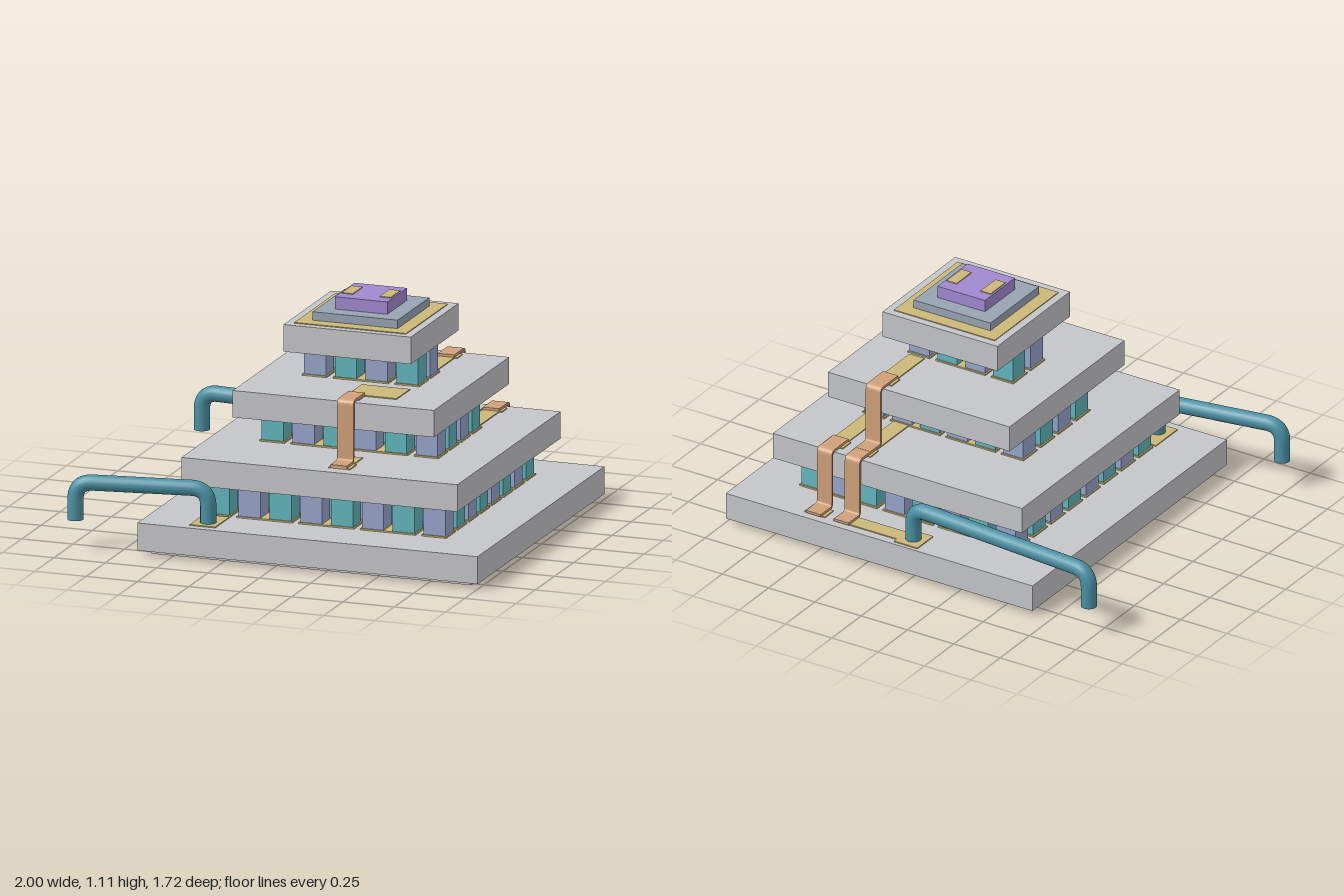
import * as THREE from 'three';

const mat = (name, color, side = THREE.FrontSide) => {
  const m = new THREE.MeshStandardMaterial({ color, side });
  m.name = name;
  return m;
};

export function createModel() {
  const root = new THREE.Group();
  root.name = 'stackedCooler';
  const CX = 0.17; // centre of the stack

  const ceramic = mat('ceramic', 0xc5c6c9);
  const gold = mat('gold', 0xcbb878);
  const copper = mat('copper', 0xd0a17a);
  const wire = mat('wire', 0x4b91a4);
  const blueLeg = mat('blueLeg', 0x97a5cc);
  const tealLeg = mat('tealLeg', 0x62b6bd);
  const mount = mat('mount', 0x98a4b3);
  const chip = mat('chip', 0xa189cf);

  const add = (name, geo, material, parent = root) => {
    const m = new THREE.Mesh(geo, material);
    m.name = name;
    parent.add(m);
    return m;
  };
  // box given by its limits on each axis
  const block = (name, material, x0, x1, y0, y1, z0, z1, parent) => {
    const m = add(name, new THREE.BoxGeometry(x1 - x0, y1 - y0, z1 - z0), material, parent);
    m.position.set((x0 + x1) / 2, (y0 + y1) / 2, (z0 + z1) / 2);
    return m;
  };
  const slab = (name, material, half, y0, y1) =>
    block(name, material, CX - half, CX + half, y0, y1, -half, half);
  const trace = (x0, x1, y, z0, z1) => block('goldTrace', gold, x0, x1, y, y + 0.005, z0, z1);

  // stepped plates and the chip on top
  slab('baseFoot', ceramic, 0.777, 0, 0.018);
  slab('baseSolder', gold, 0.777, 0.018, 0.023);
  slab('basePlate', ceramic, 0.828, 0.023, 0.153);
  slab('lowerPlate', ceramic, 0.672, 0.31, 0.438);
  slab('middlePlate', ceramic, 0.49, 0.598, 0.725);
  slab('upperPlate', ceramic, 0.31, 0.88, 1.008);
  slab('upperGoldPad', gold, 0.272, 1.008, 1.012);
  slab('chipMount', mount, 0.207, 1.01, 1.052);
  slab('chip', chip, 0.128, 1.052, 1.11);
  for (const s of [-1, 1]) {
    const x = CX + s * 0.092;
    block('chipContact', gold, x - 0.027, x + 0.027, 1.11, 1.114, -0.065, 0.062);
  }

  // checkered legs between the plates, with pads joining them in pairs
  const legStage = (name, nx, nz, y0, y1) => {
    const g = new THREE.Group();
    g.name = name;
    root.add(g);
    const pitch = 0.15, w = 0.053, p = 0.06, t = 0.007;
    for (let i = 0; i < nx; i++) for (let j = 0; j < nz; j++) {
      const x = CX + (i - (nx - 1) / 2) * pitch;
      const z = (j - (nz - 1) / 2) * pitch;
      const even = (nx - 1 - i + nz - 1 - j) % 2 === 0;
      const isBlue = nx === 4 ? !even : even;
      block('leg', isBlue ? blueLeg : tealLeg, x - w, x + w, y0 + t, y1 - t, z - w, z + w, g);
      if (i % 2 === 0) block('topPad', copper, x - p, x + pitch + p, y1 - t, y1, z - p, z + p, g);
      if (i % 2 === 1) {
        const end = i < nx - 1 ? x + pitch : x;
        block('bottomPad', gold, x - p, end + p, y0, y0 + t, z - p, z + p, g);
      }
      if (i === 0) block('bottomPad', gold, x - p, x + p, y0, y0 + t, z - p, z + p, g);
    }
  };
  legStage('lowerLegs', 8, 8, 0.153, 0.31);
  legStage('middleLegs', 6, 4, 0.438, 0.598);
  legStage('upperLegs', 4, 2, 0.725, 0.88);

  // path of straight runs with rounded corners
  const roundedPath = (pts, r) => {
    const path = new THREE.CurvePath();
    let from = pts[0];
    for (let i = 1; i < pts.length - 1; i++) {
      const c = pts[i];
      const a = c.clone().add(pts[i - 1].clone().sub(c).setLength(r));
      const b = c.clone().add(pts[i + 1].clone().sub(c).setLength(r));
      path.add(new THREE.LineCurve3(from, a));
      path.add(new THREE.QuadraticBezierCurve3(a, c, b));
      from = b;
    }
    path.add(new THREE.LineCurve3(from, pts[pts.length - 1]));
    return path;
  };

  // round lead wires
  const lead = (name, x0, z0, x1, z1) => {
    const g = new THREE.Group();
    g.name = name;
    root.add(g);
    const y = 0.317, r = 0.037;
    const pts = [[x0, 0.14, z0], [x0, y, z0], [x1, y, z1], [x1, 0.156, z1]]
      .map(p => new THREE.Vector3(...p));
    add('wireTube', new THREE.TubeGeometry(roundedPath(pts, 0.08), 90, r, 20, false), wire, g);
    for (const p of [pts[0], pts[3]]) {
      const cap = add('wireEnd', new THREE.CircleGeometry(r, 20).rotateX(Math.PI / 2), ceramic, g);
      cap.position.copy(p);
    }
  };
  lead('frontWire', -0.962, 0.82, -0.353, 0.72);
  lead('backWire', -0.962, -0.828, 0.04, -0.742);

  // bent copper straps, profile in z and y, stretched along x
  const strap = (name, x, profile) => {
    const pts = roundedPath(profile.map(([z, y]) => new THREE.Vector3(z, y, 0)), 0.02).getPoints(6);
    const h = 0.006, one = [], two = [];
    pts.forEach((p, i) => {
      const d = pts[Math.min(i + 1, pts.length - 1)].clone().sub(pts[Math.max(i - 1, 0)]).normalize();
      one.push(new THREE.Vector2(p.x - d.y * h, p.y + d.x * h));
      two.unshift(new THREE.Vector2(p.x + d.y * h, p.y - d.x * h));
    });
    const geo = new THREE.ExtrudeGeometry(new THREE.Shape([...one, ...two]),
      { depth: 0.08, bevelEnabled: false });
    geo.rotateY(-Math.PI / 2).translate(x + 0.04, 0, 0);
    add(name, geo, copper);
  };
  const upperBend = s => [[s * 0.375, 0.737], [s * 0.518, 0.737], [s * 0.518, 0.45], [s * 0.61, 0.45]];
  const lowerBend = [[-0.56, 0.449], [-0.697, 0.449], [-0.697, 0.165], [-0.797, 0.165]];
  strap('frontStrap', 0.24, upperBend(1));
  strap('backUpperStrap', 0.395, upperBend(-1));
  strap('backLowerStrap', 0.395, lowerBend);
  strap('backSideStrap', 0.545, lowerBend);

  // gold traces and solder pads on each plate
  const Y1 = 0.153, Y2 = 0.438, Y3 = 0.725;
  trace(-0.42, -0.295, Y1, 0.6, 0.785);
  trace(-0.025, 0.102, Y1, -0.81, -0.675);
  trace(0.102, 0.44, Y1, -0.785, -0.705);
  trace(0.49, 0.6, Y1, -0.785, -0.71);
  trace(0.19, 0.295, Y2, 0.52, 0.605);
  trace(0.2, 0.28, Y2, 0.4, 0.52);
  for (const x of [0.395, 0.545]) {
    trace(x - 0.053, x + 0.053, Y2, -0.63, -0.56);
    trace(x - 0.04, x + 0.04, Y2, -0.56, -0.25);
  }
  trace(0.2, 0.435, Y3, 0.2, 0.375);
  trace(0.2, 0.28, Y3, 0.375, 0.45);
  trace(0.355, 0.435, Y3, -0.38, -0.15);
  trace(0.342, 0.448, Y3, -0.45, -0.38);

  return root;
}
